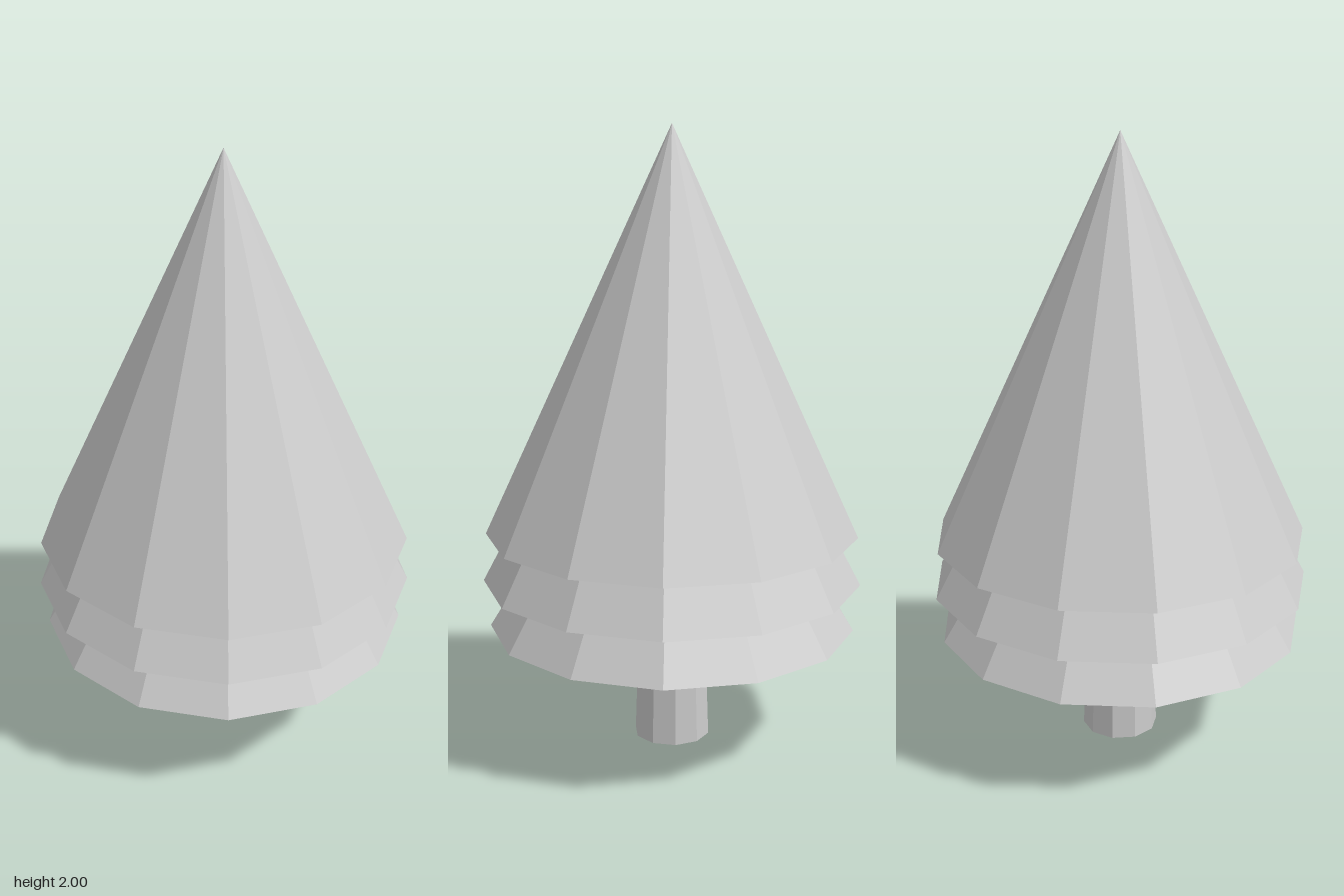
import * as THREE from 'three';

const CENTER_X = -0.01; // odd-sided tiers sit slightly off centre
const TIER_SIDES = 13;
const TRUNK_SIDES = 10;

export function createModel() {
  const tree = new THREE.Group();
  tree.name = 'tree';
  const material = new THREE.MeshStandardMaterial({ color: 0xcccccc, flatShading: true });

  const add = (name, geometry) => {
    const mesh = new THREE.Mesh(geometry, material);
    mesh.name = name;
    mesh.position.x = CENTER_X;
    tree.add(mesh);
  };

  // Foliage tiers: faceted cones with a shallow recess underneath
  const tiers = [
    { name: 'lowerFoliage', base: 0.39, radius: 0.597, tip: 1.36 },
    { name: 'middleFoliage', base: 0.545, radius: 0.616, tip: 1.7 },
    { name: 'upperFoliage', base: 0.703, radius: 0.605, tip: 2 },
  ];
  for (const { name, base, radius, tip } of tiers) {
    const profile = [
      new THREE.Vector2(0, base + 0.02),
      new THREE.Vector2(radius * 0.6, base + 0.02),
      new THREE.Vector2(radius, base),
      new THREE.Vector2(0, tip),
    ];
    add(name, new THREE.LatheGeometry(profile, TIER_SIDES, Math.PI / 2));
  }

  // Trunk: slightly tapered, reaching into the lowest tier
  const trunk = new THREE.CylinderGeometry(0.111, 0.125, 0.42, TRUNK_SIDES, 1, false, Math.PI / 2);
  trunk.translate(0, 0.21, 0);
  add('trunk', trunk);

  return tree;
}
